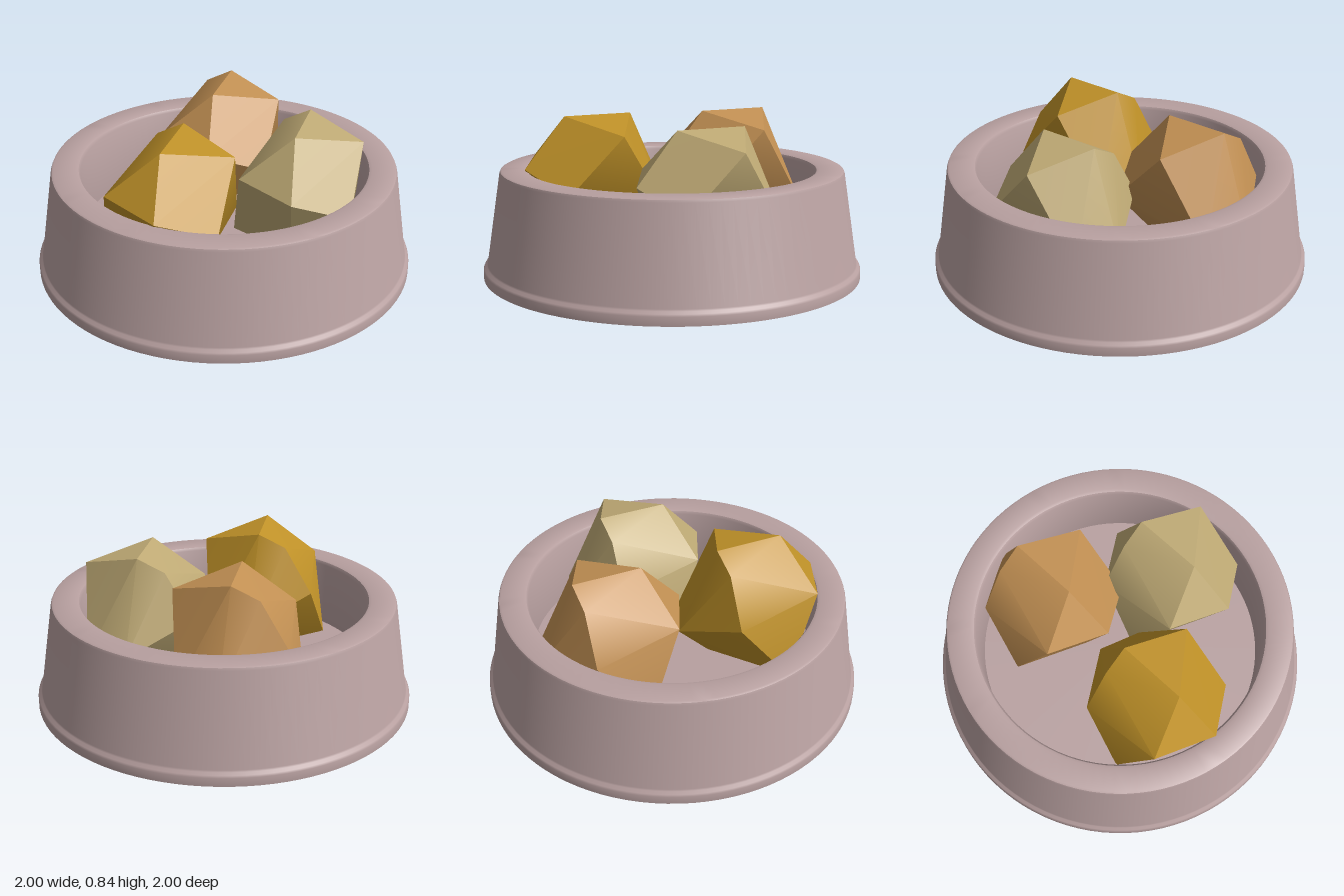
import * as THREE from 'three';
import { toCreasedNormals } from 'three/addons/utils/BufferGeometryUtils.js';
import { ConvexGeometry } from 'three/addons/geometries/ConvexGeometry.js';

function addMesh(group, name, geometry, color) {
  const mesh = new THREE.Mesh(geometry, new THREE.MeshStandardMaterial({ color }));
  mesh.name = name;
  group.add(mesh);
  return mesh;
}

// Bowl: one closed profile, from the underside round the rim to the inner floor
function bowlGeometry() {
  const profile = [
    [0, 0], [1, 0], [1, 0.045], [0.995, 0.056], [0.982, 0.066], [0.978, 0.075],
    [0.905, 0.548], [0.9, 0.56], [0.89, 0.565],
    [0.775, 0.565], [0.76, 0.56], [0.751, 0.545], [0.745, 0.2], [0, 0.2],
  ].map(([r, y]) => new THREE.Vector2(r, y));
  return toCreasedNormals(new THREE.LatheGeometry(profile, 96), 0.6);
}

// Chunk: an irregular, faceted lump with a softer back
function chunkGeometry() {
  const corners = [
    [-0.2, 0.84, 0.13], [-0.295, 0.835, 0.48], [-0.337, 0.77, 0.1], // top
    [-0.476, 0.52, 0.06], [-0.12, 0.37, -0.055], [0.07, 0.34, 0.08], [0.062, 0.755, 0.345], // back and right
    [-0.016, 0.46, 0.63], [-0.315, 0.573, 0.71], [-0.573, 0.61, 0.495], [-0.6, 0.19, 0.295], // front and left
    [-0.3, 0.12, 0.53], [-0.2, 0.12, 0.18], // underside
  ].map((p) => new THREE.Vector3(...p));
  return toCreasedNormals(new ConvexGeometry(corners), 0.66);
}

export function createModel() {
  const model = new THREE.Group();
  model.name = 'filledBowl';
  addMesh(model, 'bowl', bowlGeometry(), 0xb8a0a0);

  // Three equal chunks lying in the bowl
  const chunk = chunkGeometry();
  const chunks = [
    ['goldenChunk', 0xbf9128, [0, 0, 0]],
    ['beigeChunk', 0xbfaa75, [0.653, -0.025, -0.245]],
    ['orangeChunk', 0xc29053, [0.23, 0, -0.733]],
  ];
  for (const [name, color, offset] of chunks) {
    addMesh(model, name, chunk, color).position.set(...offset);
  }
  return model;
}
